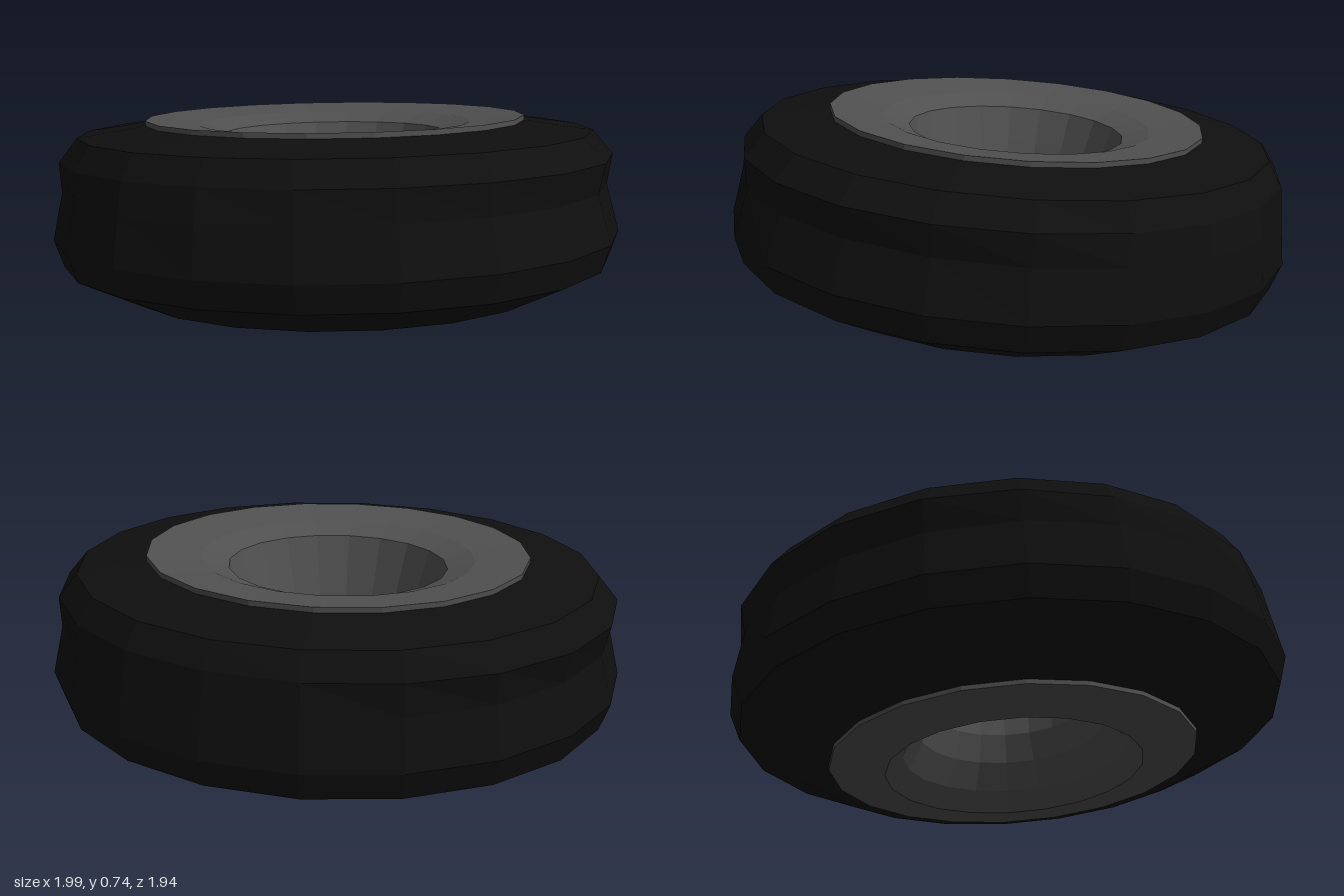
import * as THREE from 'three';

const SIDES = 20;

// Revolves a list of [radius, height] pairs into a faceted ring, slightly narrower in z.
function ring(name, profile, color, warp) {
  const points = profile.map(([r, h]) => new THREE.Vector2(r, h));
  const geometry = new THREE.LatheGeometry(points, SIDES, 0.083);
  const pos = geometry.attributes.position;
  for (let i = 0; i < pos.count; i++) {
    const x = pos.getX(i), y = pos.getY(i), z = pos.getZ(i);
    const k = warp ? warp(y, Math.atan2(z, x), Math.hypot(x, z)) : 1;
    pos.setXYZ(i, x * k, y, z * k * 0.977);
  }
  geometry.computeVertexNormals();
  const material = new THREE.MeshStandardMaterial({ color, flatShading: true });
  const mesh = new THREE.Mesh(geometry, material);
  mesh.name = name;
  return mesh;
}

// Tread is pinched unevenly: its waist sinks and its upper shoulder bulges on two opposite sides.
function treadWarp(h, angle, radius) {
  if (radius < 0.94 || h < 0) return 1;
  const wave = 0.012 * Math.cos(2 * (angle - 0.3));
  return h > 0.13 ? 1 + wave : 1 - wave;
}

export function createModel() {
  const wheel = new THREE.Group();
  wheel.name = 'wheel';

  // Tire: lower sidewall, tread, upper sidewall, then the hidden bead
  wheel.add(ring('tire', [
    [0.62, -0.295], [0.75, -0.283], [0.965, -0.18], [0.998, -0.085],
    [0.964, 0.08], [0.966, 0.185], [0.905, 0.267], [0.67, 0.302],
    [0.62, 0.302], [0.62, -0.295],
  ], 0x0f0f0f, treadWarp));

  // Rim: outer wall, dished upper face, waisted bore, lower face
  wheel.add(ring('rim', [
    [0.655, -0.307], [0.668, 0.32], [0.48, 0.298], [0.385, 0.265],
    [0.345, 0.14], [0.308, 0.02], [0.302, -0.08], [0.335, -0.18],
    [0.395, -0.27], [0.46, -0.335], [0.655, -0.307],
  ], 0x505050));

  // The wheel lies flat with a slight lean
  wheel.rotation.set(-0.07, 0, 0.03);
  wheel.position.y = 0.37;

  const model = new THREE.Group();
  model.name = 'model';
  model.add(wheel);
  return model;
}
